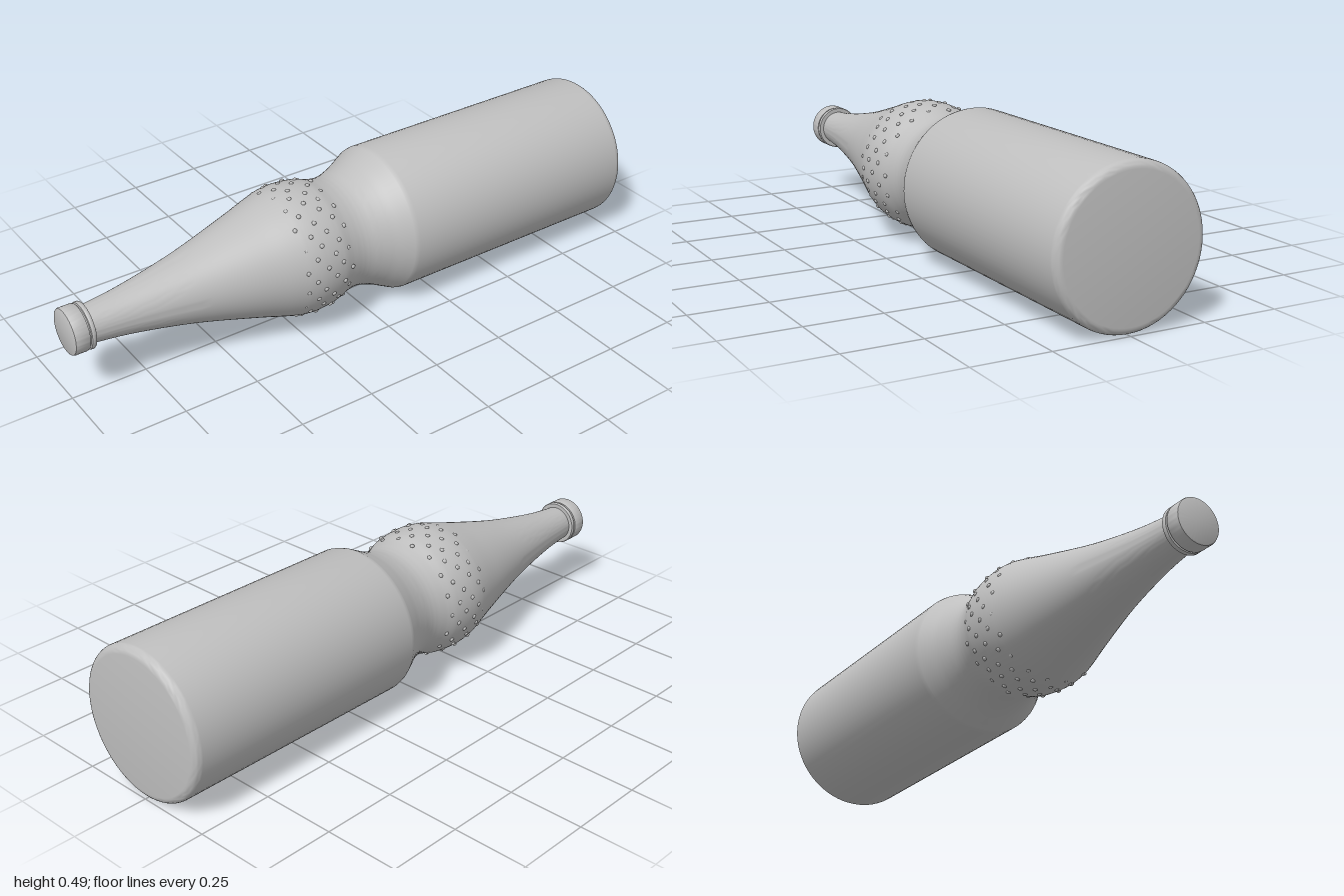
import * as THREE from 'three';
import { toCreasedNormals } from 'three/addons/utils/BufferGeometryUtils.js';

const RADIUS = 0.245;

export function createModel() {
  const model = new THREE.Group();
  model.name = 'bottle';
  const grey = new THREE.MeshStandardMaterial({ color: 0xbfbfbf });
  grey.name = 'light grey';

  // The bottle is turned around its own y axis, then laid on its side along x
  const bottle = new THREE.Group();
  bottle.name = 'lyingBottle';
  bottle.rotation.z = -Math.PI / 2;
  bottle.position.y = RADIUS;
  model.add(bottle);

  const add = (name, geometry, parent = bottle) => {
    const mesh = new THREE.Mesh(geometry, grey);
    mesh.name = name;
    parent.add(mesh);
    return mesh;
  };
  const vec = ([r, h]) => new THREE.Vector2(r, h);
  const turned = (points) => toCreasedNormals(new THREE.LatheGeometry(points, 72), 0.6);

  // Neck, bulge and waist as one smooth curve
  const neck = new THREE.SplineCurve([
    [0.058, -0.945], [0.075, -0.8], [0.114, -0.6], [0.168, -0.4], [0.198, -0.3],
    [0.211, -0.25], [0.215, -0.2], [0.209, -0.14], [0.195, -0.095], [0.187, -0.05],
    [0.191, -0.01], [0.207, 0.04], [0.226, 0.08], [0.242, 0.112],
  ].map(vec));

  // Straight body with a rounded base edge
  const body = [[RADIUS, 0.125], [RADIUS, 0.974]].map(vec);
  for (let i = 1; i <= 6; i++) {
    const a = (i / 6) * Math.PI / 2;
    body.push(vec([RADIUS - 0.025 + 0.025 * Math.cos(a), 0.974 + 0.026 * Math.sin(a)]));
  }
  body.push(vec([0, 1]));
  add('glassBody', turned([...neck.getPoints(78), ...body]));

  // Cap with its lower sealing ring
  add('cap', turned([
    [0, -1], [0.069, -1], [0.073, -0.998], [0.075, -0.993], [0.075, -0.956],
    [0.073, -0.951], [0.067, -0.95], [0.067, -0.946], [0.073, -0.945],
    [0.075, -0.942], [0.075, -0.934], [0.073, -0.931], [0.055, -0.931],
  ].map(vec)));

  // Staggered small bumps around the bulge
  const bumps = new THREE.Group();
  bumps.name = 'bulgeBumps';
  bottle.add(bumps);
  const bump = new THREE.SphereGeometry(0.0075, 10, 6);
  const rows = [[-0.27, 0.204], [-0.24, 0.212], [-0.21, 0.215], [-0.175, 0.214], [-0.145, 0.21], [-0.112, 0.2]];
  const perRow = 18;
  rows.forEach(([h, r], row) => {
    for (let i = 0; i < perRow; i++) {
      const a = ((i + (row % 2) / 2) / perRow) * Math.PI * 2;
      const mesh = add('bump', bump, bumps);
      mesh.position.set(r * Math.cos(a), h + 0.006 * Math.sin(i * 2.4 + row), r * Math.sin(a));
      mesh.rotation.y = -a;
      mesh.scale.x = 0.7;
    }
  });

  return model;
}
